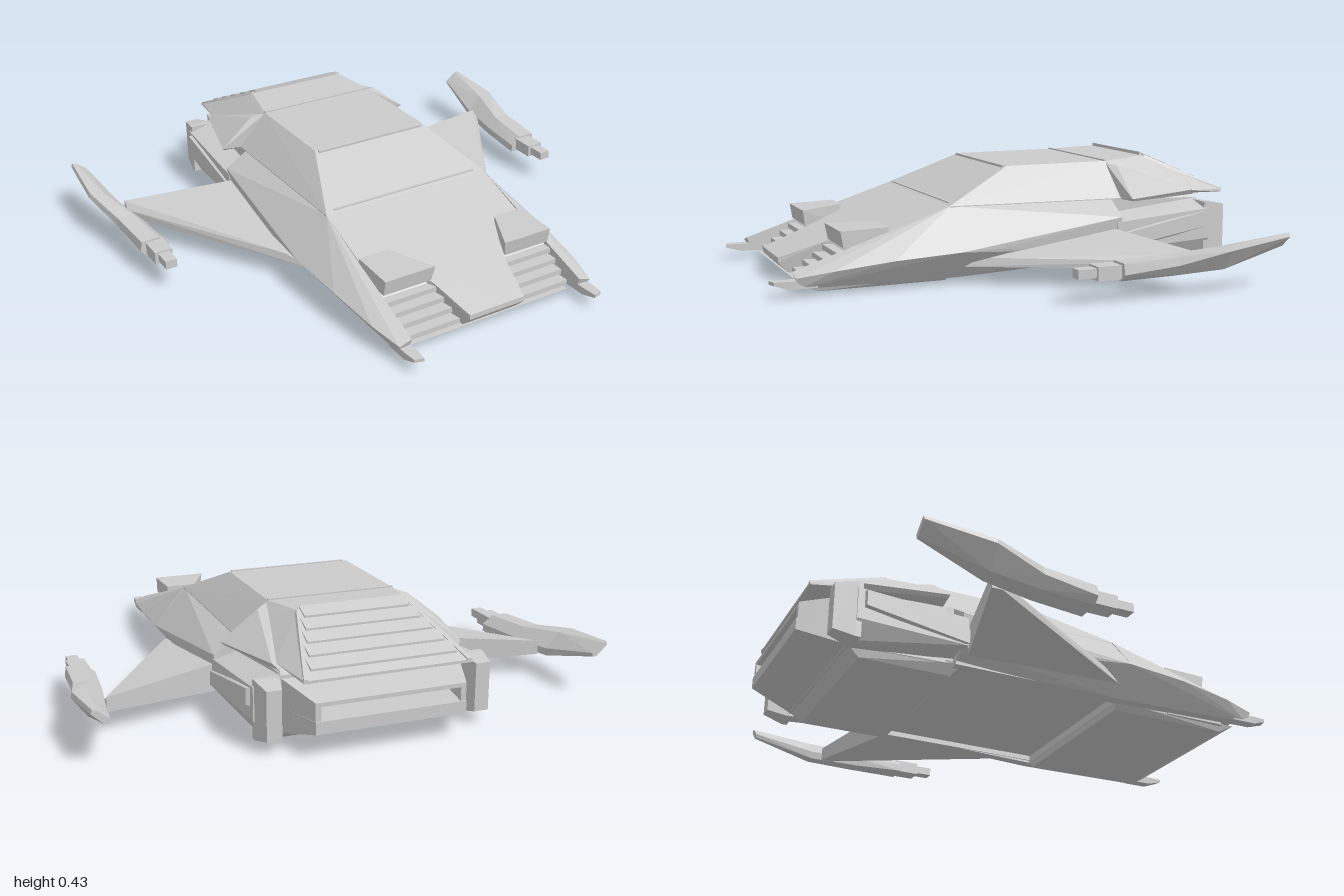
import * as THREE from 'three';
import { ConvexGeometry } from 'three/addons/geometries/ConvexGeometry.js';

const material = new THREE.MeshStandardMaterial({ color: 0xcccccc, flatShading: true });

export function createModel() {
  const model = new THREE.Group();
  model.name = 'flyingCar';

  const add = (name, geometry) => {
    const mesh = new THREE.Mesh(geometry, material);
    mesh.name = name;
    model.add(mesh);
  };
  const solid = (name, points) =>
    add(name, new ConvexGeometry(points.map((p) => new THREE.Vector3(...p))));
  const flip = (points) => points.map(([x, y, z]) => [-x, y, z]);
  // Faceted block across the centre line, given by its +x corners
  const centre = (name, points) => solid(name, [...points, ...flip(points)]);
  // Faceted block repeated on both sides
  const pair = (name, points) => {
    solid('left' + name, points);
    solid('right' + name, flip(points));
  };
  // Corners of an axis-aligned box
  const box = (x0, x1, y0, y1, z0, z1) =>
    [x0, x1].flatMap((x) => [y0, y1].flatMap((y) => [z0, z1].map((z) => [x, y, z])));

  // Cabin, shoulders and belly
  centre('Cabin', [
    [0.25, 0.405, 0], [0.25, 0.405, -0.43], [0.36, 0.28, 0.28], [0.36, 0.27, -0.43],
    [0.36, 0.05, 0.28], [0.36, 0.05, -0.43],
  ]);
  pair('Shoulder', [
    [0.355, 0.28, 0.28], [0.49, 0.13, 0.28], [0.4, 0.02, 0.28], [0.355, 0.02, 0.28],
    [0.48, 0.13, 0.13], [0.355, 0.27, -0.4], [0.45, 0.21, -0.4], [0.43, 0.08, -0.4],
    [0.38, 0.04, -0.4], [0.355, 0.04, -0.4],
  ]);
  centre('RearBody', [
    [0.25, 0.4, -0.43], [0.36, 0.27, -0.43], [0.36, 0.04, -0.43],
    [0.34, 0.25, -0.8], [0.34, 0.04, -0.8],
  ]);
  pair('SideRail', box(0.35, 0.385, 0.03, 0.07, -0.4, 0.28));
  centre('FrontPan', [
    [0.37, 0.03, 0.28], [0.34, 0, 0.29], [0.34, 0, 0.78], [0.35, 0.03, 0.84],
  ]);
  centre('RearPan', [
    [0.36, 0.05, -0.36], [0.33, 0.005, -0.4], [0.33, 0.005, -0.75], [0.34, 0.05, -0.8],
  ]);

  // Windscreen frame: sill, header and pillars
  centre('WindscreenSill', box(0, 0.32, 0.282, 0.29, 0.258, 0.268));
  centre('WindscreenHeader', box(0, 0.24, 0.395, 0.407, 0.005, 0.015));
  centre('RoofRearTrim', box(0, 0.25, 0.4, 0.41, -0.435, -0.425));

  // Bonnet, narrowing to a central nose
  centre('Bonnet', [
    [0.36, 0.28, 0.28], [0.36, 0.02, 0.28], [0.36, 0.2, 0.52], [0.36, 0.02, 0.52],
  ]);
  centre('NoseBase', [
    [0.24, 0.2, 0.52], [0.24, 0.02, 0.52], [0.16, 0.145, 0.7], [0.16, 0.02, 0.7],
  ]);
  centre('Nose', [
    [0.16, 0.145, 0.7], [0.14, 0.02, 0.7], [0.12, 0.09, 0.87],
    [0.12, 0.07, 0.87], [0.12, 0.02, 0.82],
  ]);

  // Front fenders with low prongs
  pair('Fender', [
    [0.36, 0.28, 0.28], [0.49, 0.13, 0.28], [0.4, 0.02, 0.28], [0.36, 0.02, 0.28],
    [0.475, 0.115, 0.53], [0.45, 0.09, 0.75], [0.37, 0.085, 0.88], [0.42, 0.07, 0.88],
    [0.41, 0.03, 0.86], [0.37, 0.03, 0.86],
  ]);
  pair('Prong', [
    ...box(0.37, 0.415, 0.03, 0.06, 0.8, 0.9),
    [0.375, 0.06, 0.965], [0.41, 0.06, 0.955], [0.375, 0.048, 0.965], [0.41, 0.048, 0.955],
  ]);

  // Headlamp housings above stepped grilles
  pair('Headlamp', [
    [0.24, 0.22, 0.52], [0.365, 0.22, 0.52], [0.155, 0.215, 0.7], [0.365, 0.215, 0.7],
    [0.24, 0.14, 0.52], [0.365, 0.14, 0.52], [0.165, 0.155, 0.69], [0.365, 0.155, 0.69],
  ]);
  pair('GrilleBacking', [
    ...box(0.12, 0.365, 0.02, 0.15, 0.52, 0.66), [0.12, 0.02, 0.78], [0.365, 0.02, 0.78],
  ]);
  for (let i = 0; i < 4; i++) {
    const y = 0.115 - i * 0.028;
    pair('GrilleSlat' + i, box(0.12, 0.365, y, y + 0.02, 0.6, 0.71 + i * 0.036));
  }

  // Tail cover with louvres on its sloping face
  centre('TailCover', [
    [0.25, 0.405, -0.43], [0.21, 0.417, -0.63], [0.31, 0.272, -0.94],
    [0.31, 0.262, -0.94], [0.34, 0.28, -0.75], [0.29, 0.36, -0.5], [0.3, 0.27, -0.45],
  ]);
  for (let i = 0; i < 5; i++) {
    const t = (i + 0.6) / 5.3;
    const z = -0.63 - 0.31 * t, y = 0.417 - 0.145 * t, w = 0.19 + 0.095 * t;
    centre('Louvre' + i, [
      [w, y + 0.028, z + 0.05], [w, y + 0.007, z - 0.004],
      [w, y - 0.008, z - 0.004], [w, y - 0.005, z + 0.05],
    ]);
  }
  pair('TailFrame', [
    [0.2, 0.42, -0.625], [0.215, 0.42, -0.625], [0.295, 0.277, -0.94], [0.312, 0.277, -0.94],
    [0.2, 0.4, -0.625], [0.225, 0.4, -0.625], [0.295, 0.262, -0.94], [0.315, 0.262, -0.94],
  ]);
  // Buttresses flaring out beside the tail
  pair('Buttress', [
    [0.25, 0.4, -0.43], [0.3, 0.385, -0.46], [0.44, 0.275, -0.45], [0.36, 0.285, -0.77],
    [0.34, 0.265, -0.79], [0.43, 0.265, -0.46], [0.32, 0.265, -0.44],
  ]);

  // Rear engine pods, end plates and inset nozzles
  pair('EnginePod', [
    [0.34, 0.22, -0.38], [0.45, 0.19, -0.38], [0.45, 0.08, -0.38], [0.34, 0.06, -0.38],
    [0.34, 0.25, -0.8], [0.44, 0.22, -0.8], [0.44, 0.1, -0.8], [0.4, 0.03, -0.8],
    [0.34, 0.03, -0.8],
  ]);
  pair('PodIntake', [
    [0.43, 0.15, -0.37], [0.457, 0.14, -0.37], [0.457, 0.085, -0.37], [0.43, 0.08, -0.45],
    [0.455, 0.21, -0.77], [0.455, 0.15, -0.77], [0.42, 0.21, -0.78], [0.42, 0.14, -0.78],
  ]);
  pair('PodEndPlate', [
    ...box(0.345, 0.435, 0.03, 0.245, -0.8, -0.78),
    ...box(0.365, 0.42, 0.05, 0.23, -0.88, -0.87),
  ]);

  // Rear bumper: lower block, upper lip and side cheeks around a recess
  centre('RearBumper', [
    [0.34, 0.04, -0.79], [0.28, 0.09, -0.97], [0.28, 0.135, -0.97], [0.34, 0.135, -0.79],
  ]);
  centre('RearLip', [
    [0.34, 0.185, -0.79], [0.28, 0.185, -0.965], [0.28, 0.2, -0.965], [0.34, 0.24, -0.79],
  ]);
  pair('RearCheek', [
    [0.34, 0.05, -0.79], [0.34, 0.24, -0.79], [0.28, 0.09, -0.965], [0.28, 0.2, -0.965],
    [0.26, 0.09, -0.965], [0.26, 0.2, -0.965], [0.29, 0.05, -0.79], [0.29, 0.24, -0.79],
  ]);

  // Swept wedge wings, thick along the trailing edge
  pair('Wing', [
    [0.42, 0.065, 0.28], [0.48, 0.07, 0.17], [0.48, 0.1, 0.17], [0.4, 0.06, -0.36],
    [0.4, 0.168, -0.36], [0.45, 0.165, -0.375], [0.45, 0.06, -0.375],
    [0.87, 0.08, -0.49], [0.87, 0.135, -0.49], [0.87, 0.08, -0.45], [0.87, 0.11, -0.45],
  ]);

  // Wingtip cannons: body bends outward and upward to a thin tail
  const ring = (z, corners) => corners.map(([x, y]) => [x, y, z]);
  const stations = [
    ring(-0.13, [[0.83, 0.075], [0.92, 0.075], [0.945, 0.1], [0.94, 0.14], [0.87, 0.14], [0.83, 0.105]]),
    ring(-0.34, [[0.855, 0.075], [0.93, 0.08], [0.96, 0.12], [0.955, 0.15], [0.89, 0.15], [0.85, 0.11]]),
    ring(-0.53, [[0.885, 0.085], [0.945, 0.09], [1, 0.165], [0.995, 0.185], [0.94, 0.175], [0.88, 0.115]]),
    ring(-0.78, [[0.925, 0.155], [0.94, 0.155], [0.985, 0.195], [0.98, 0.21], [0.965, 0.205], [0.92, 0.17]]),
  ];
  for (let i = 0; i < 3; i++) pair('CannonBody' + i, [...stations[i], ...stations[i + 1]]);
  pair('CannonSleeve', box(0.853, 0.923, 0.082, 0.132, -0.14, -0.04));
  pair('CannonBarrel', box(0.865, 0.91, 0.092, 0.125, -0.06, 0.03));

  return model;
}
